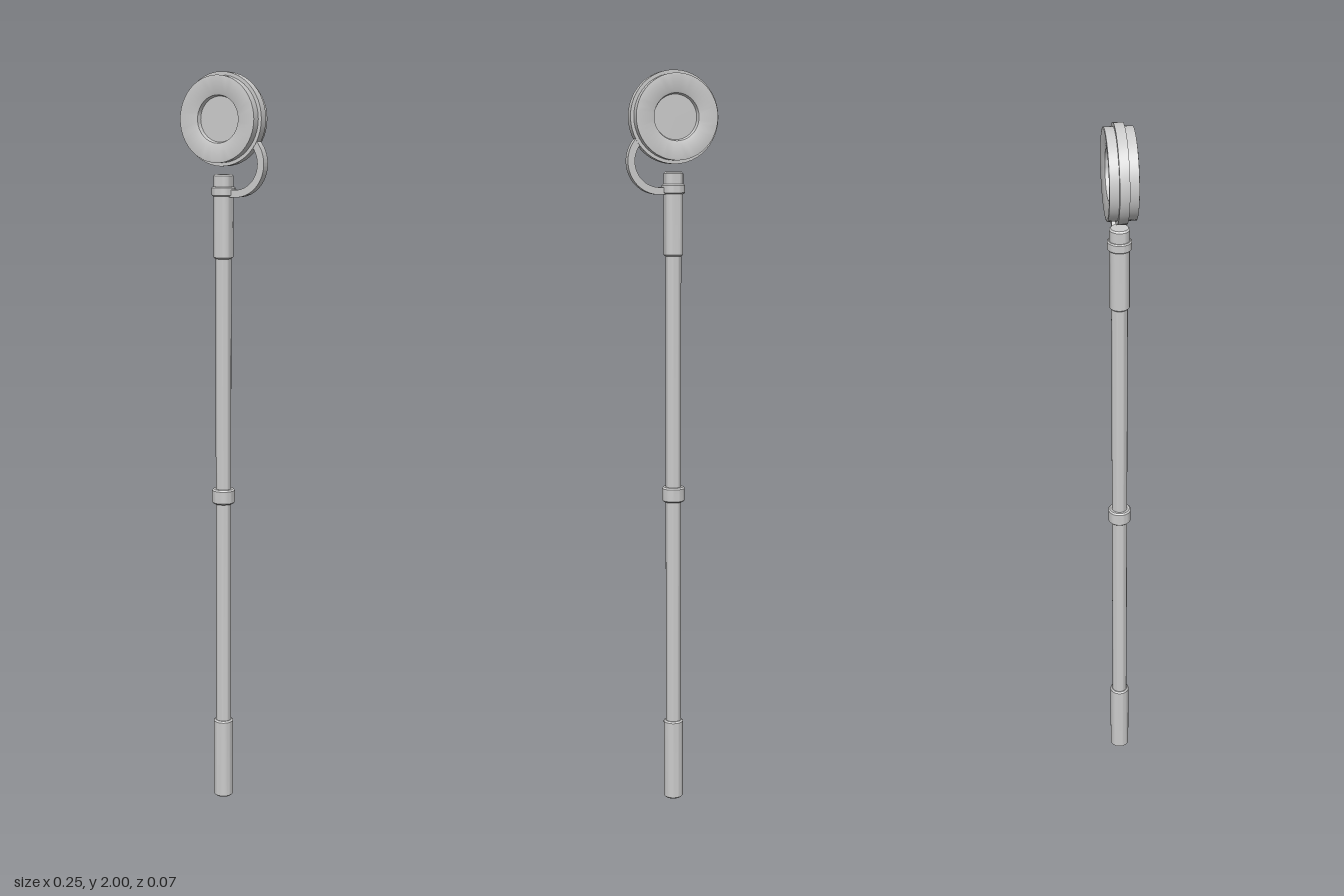
import * as THREE from 'three';
import { toCreasedNormals } from 'three/addons/utils/BufferGeometryUtils.js';

const material = new THREE.MeshStandardMaterial({ color: 0xcccccc });
const AXIS_X = -0.004;

function part(name, geometry) {
  const mesh = new THREE.Mesh(toCreasedNormals(geometry, 0.6), material);
  mesh.name = name;
  return mesh;
}

// Surface of revolution from [radius, height] pairs, bottom to top
function turned(name, profile, sides = 32) {
  const points = profile.map(([r, h]) => new THREE.Vector2(r, h));
  return part(name, new THREE.LatheGeometry(points, sides));
}

// Closed cylinder with small chamfers at both ends
function sleeve(name, r, y0, y1, c = 0.004) {
  const mesh = turned(name, [[0, y0], [r - c, y0], [r, y0 + c], [r, y1 - c], [r - c, y1], [0, y1]]);
  mesh.position.x = AXIS_X;
  return mesh;
}

export function createModel() {
  const model = new THREE.Group();
  model.name = 'discToppedStaff';

  // Staff with grips and collars
  model.add(
    sleeve('shaft', 0.021, 0.1, 1.65),
    sleeve('lowerGrip', 0.027, 0, 0.228),
    sleeve('middleCollar', 0.031, 0.855, 0.896),
    sleeve('upperGrip', 0.026, 1.52, 1.74),
    sleeve('hookCollar', 0.031, 1.683, 1.708, 0.003)
  );

  // Round head, the same on front and back, with a recessed centre
  const head = new THREE.Group();
  head.name = 'head';
  head.position.set(AXIS_X, 1.88, 0);
  const half = [[0, 0.018], [0.058, 0.018], [0.061, 0.029], [0.068, 0.031], [0.106, 0.036], [0.111, 0.035]];
  const drum = turned('drum', [
    ...half.map(([r, h]) => [r, -h]),
    ...half.slice().reverse()
  ], 48);
  const rim = turned('rim', [[0.1, -0.012], [0.12, -0.012], [0.12, 0.012], [0.1, 0.012]], 48);
  drum.rotation.x = rim.rotation.x = Math.PI / 2;
  head.add(drum, rim);
  model.add(head);

  // Curved flat arm from the collar up to the head
  const cx = 0.037, cy = 1.767, outer = 0.086, inner = 0.067, end = 1.05;
  const arm = new THREE.Shape();
  arm.moveTo(AXIS_X, cy - outer);
  arm.lineTo(cx, cy - outer);
  arm.absarc(cx, cy, outer, -Math.PI / 2, end, false);
  arm.absarc(cx, cy, inner, end, -Math.PI / 2, true);
  arm.lineTo(AXIS_X, cy - inner);
  arm.closePath();
  const armGeometry = new THREE.ExtrudeGeometry(arm, { depth: 0.022, bevelEnabled: false, curveSegments: 24 });
  armGeometry.translate(0, 0, -0.011);
  model.add(part('curvedArm', armGeometry));

  return model;
}
